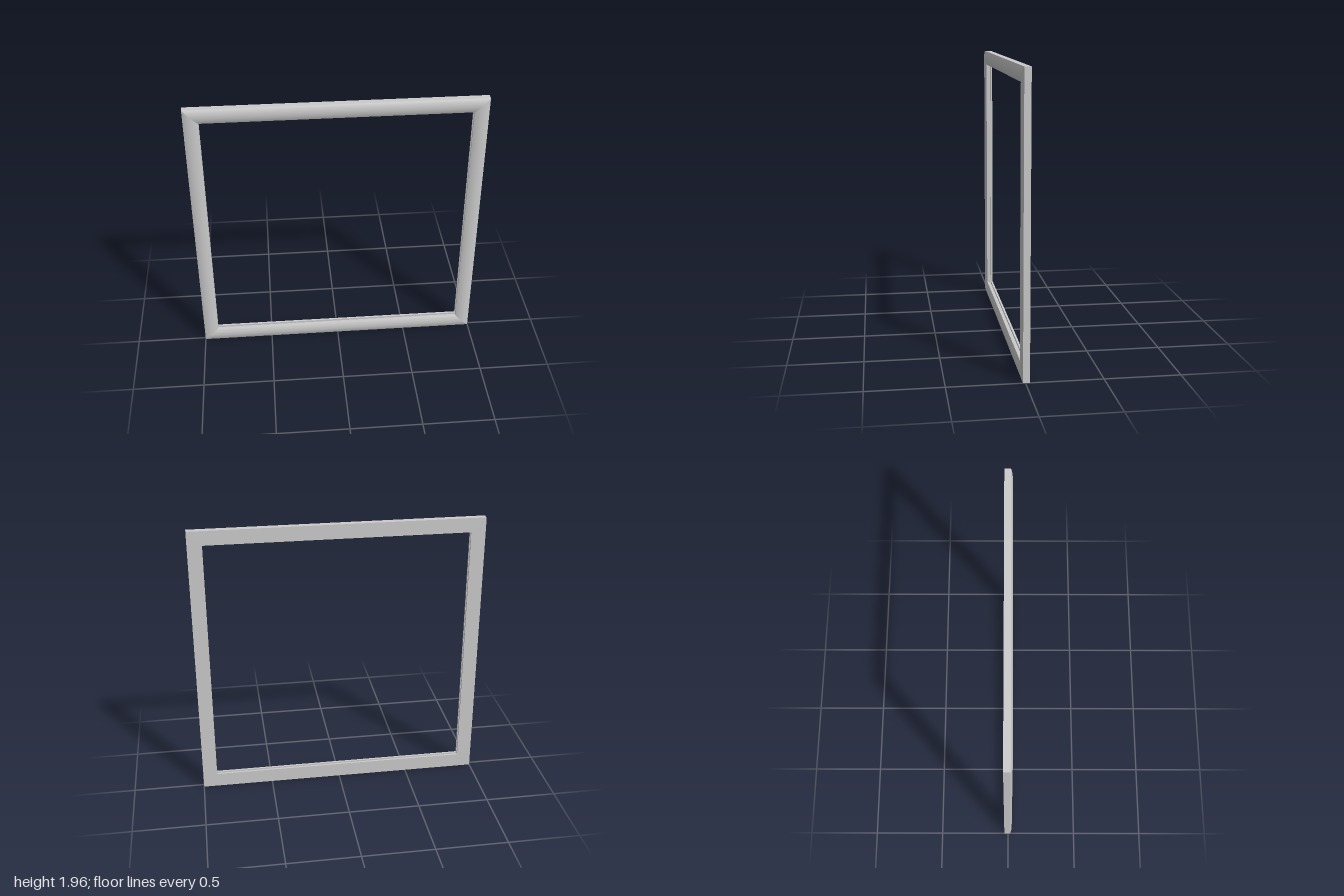
import * as THREE from 'three';
import { toCreasedNormals } from 'three/addons/utils/BufferGeometryUtils.js';

const W = 2, H = 1.955, RAIL = 0.1;
const BACK = -0.028, EDGE = 0.016, CROWN = 0.028;

// Rail cross-section, counter-clockwise: [distance in from the outer edge, z]
function railProfile() {
  const points = [
    [0, BACK], [RAIL, BACK],
    // narrow groove along the inner side
    [RAIL, -0.014], [RAIL - 0.015, -0.014], [RAIL - 0.015, 0.002], [RAIL, 0.002],
  ];
  // domed front face
  const steps = 14, rise = CROWN - EDGE, half = RAIL / 2;
  const radius = (half * half + rise * rise) / (2 * rise);
  const sweep = Math.asin(half / radius);
  for (let i = 0; i <= steps; i++) {
    const a = sweep * (1 - (2 * i) / steps);
    points.push([half + radius * Math.sin(a), CROWN - radius * (1 - Math.cos(a))]);
  }
  return points;
}

// Rail between two corners, mitred at both ends
function mitredRail(profile, from, to) {
  const at = ([sx, sy], [u, z]) => [sx * (W / 2 - u), H / 2 + sy * (H / 2 - u), z];
  const positions = [];
  profile.forEach((p, i) => {
    const q = profile[(i + 1) % profile.length];
    const a = at(from, p), b = at(from, q), c = at(to, q), d = at(to, p);
    positions.push(...a, ...b, ...c, ...a, ...c, ...d);
  });
  const geometry = new THREE.BufferGeometry();
  geometry.setAttribute('position', new THREE.Float32BufferAttribute(positions, 3));
  return toCreasedNormals(geometry, 0.4);
}

export function createModel() {
  const group = new THREE.Group();
  group.name = 'frame';
  const material = new THREE.MeshStandardMaterial({ color: 0xcccccc, side: THREE.DoubleSide });
  const profile = railProfile();

  // Corners counter-clockwise from the front
  const corners = [[-1, -1], [1, -1], [1, 1], [-1, 1]];
  ['bottomRail', 'leftRail', 'topRail', 'rightRail'].forEach((name, i) => {
    const rail = new THREE.Mesh(mitredRail(profile, corners[i], corners[(i + 1) % 4]), material);
    rail.name = name;
    group.add(rail);
  });
  return group;
}
